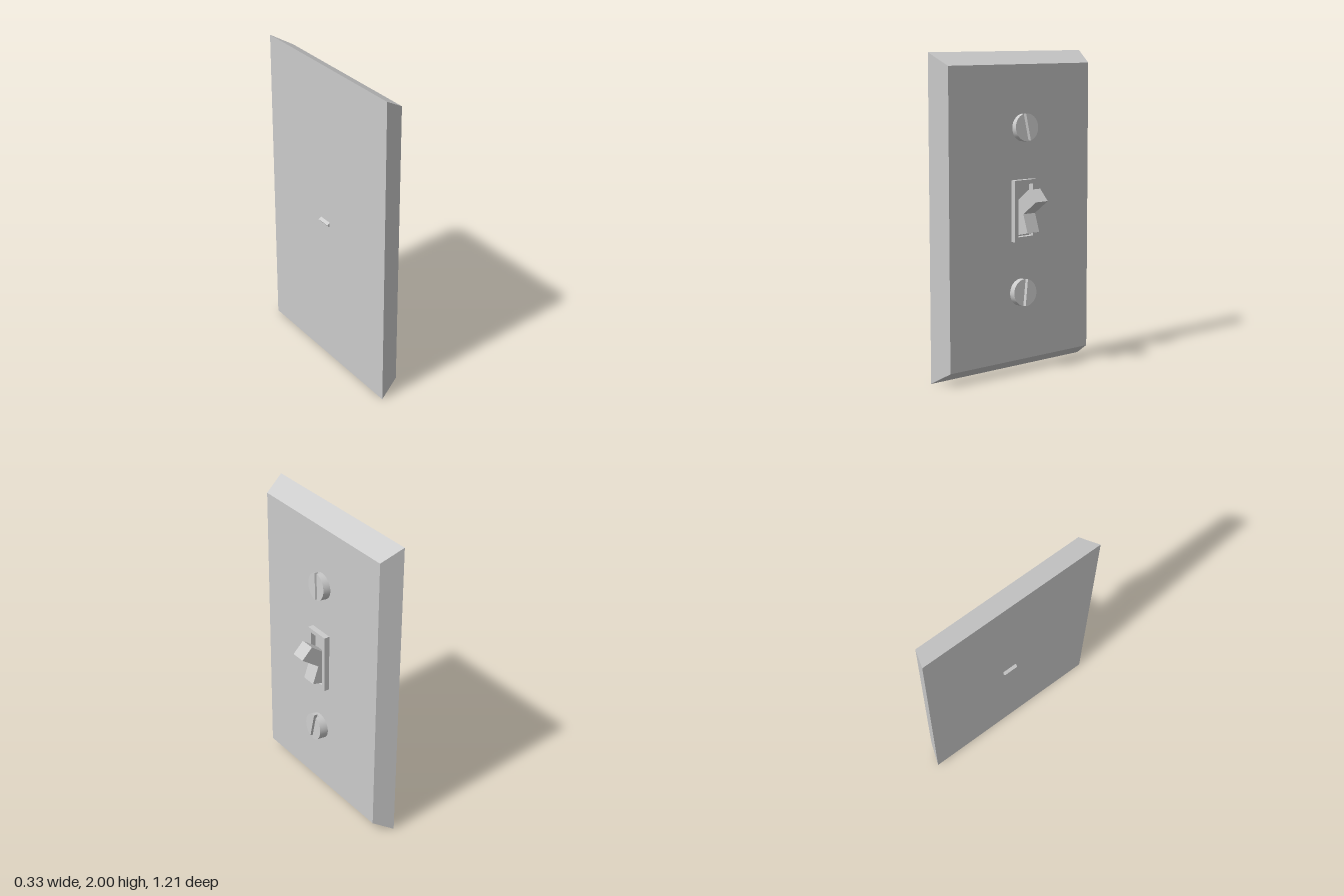
import * as THREE from 'three';

const material = new THREE.MeshStandardMaterial({ color: 0xcccccc, flatShading: true });
const smooth = new THREE.MeshStandardMaterial({ color: 0xcccccc });

function add(parent, name, geometry, mat = material) {
  const mesh = new THREE.Mesh(geometry, mat);
  mesh.name = name;
  parent.add(mesh);
  return mesh;
}

const polygon = (points) => new THREE.Shape(points.map(([x, y]) => new THREE.Vector2(x, y)));
const rectangle = (x0, y0, x1, y1) => polygon([[x0, y0], [x1, y0], [x1, y1], [x0, y1]]);
const extrude = (shape, depth, curveSegments = 12) =>
  new THREE.ExtrudeGeometry(shape, { depth, bevelEnabled: false, curveSegments });

// Wall plate: a box whose outer face is drawn in to bevel all four edges
function plateGeometry() {
  const geometry = new THREE.BoxGeometry(1.21, 2, 0.135).translate(0, 1, -0.0825);
  const p = geometry.attributes.position;
  for (let i = 0; i < p.count; i++) {
    if (p.getZ(i) < -0.1) continue;
    p.setX(i, Math.sign(p.getX(i)) * 0.56);
    p.setY(i, p.getY(i) > 1 ? 1.923 : 0.08);
  }
  geometry.computeVertexNormals();
  return geometry;
}

// Slotted screw head: a disc with two raised circle segments
function createScrew(name, u, y, out, roll) {
  const radius = 0.085, half = 0.011, slotDepth = 0.025;
  const screw = new THREE.Group();
  screw.name = name;
  const base = new THREE.CylinderGeometry(radius, radius, 0.05, 32).rotateX(Math.PI / 2);
  add(screw, 'screwBase', base.translate(0, 0, -slotDepth - 0.025), smooth);
  const a = Math.acos(half / radius);
  const segment = new THREE.Shape();
  segment.absarc(0, 0, radius, -a, a, false);
  segment.closePath();
  for (const turn of [0, Math.PI]) {
    const side = extrude(segment, slotDepth, 16).translate(0, 0, -slotDepth);
    add(screw, 'screwHeadHalf', side.rotateZ(turn));
  }
  screw.position.set(u, y, out);
  screw.rotation.set(-0.07, -0.07, roll);
  return screw;
}

export function createModel() {
  const model = new THREE.Group();
  model.name = 'lightSwitch';

  // Parts drawn facing +z, then turned to face +x
  const panel = new THREE.Group();
  panel.name = 'panel';
  panel.rotation.y = Math.PI / 2;
  model.add(panel);
  add(panel, 'wallPlate', plateGeometry());

  // Raised rim around the toggle
  const rim = rectangle(-0.08, 0.835, 0.09, 1.217);
  rim.holes.push(rectangle(-0.053, 0.865, 0.063, 1.19));
  add(panel, 'toggleRim', extrude(rim, 0.037).translate(0, 0, -0.016));

  panel.add(createScrew('upperScrew', 0.01, 1.54, 0.028, 0.16));
  panel.add(createScrew('lowerScrew', -0.01, 0.515, 0.036, -0.16));

  // Toggle: side profile with the lever raised, its rear corner showing behind the plate
  const profile = polygon([
    [0.093, 1.165], [-0.168, 0.97], [-0.07, 0.86], [0.085, 0.895], [0.045, 1.01], [0.163, 1.095],
  ]);
  add(model, 'toggle', extrude(profile, 0.095).translate(0, 0, -0.06));
  return model;
}
